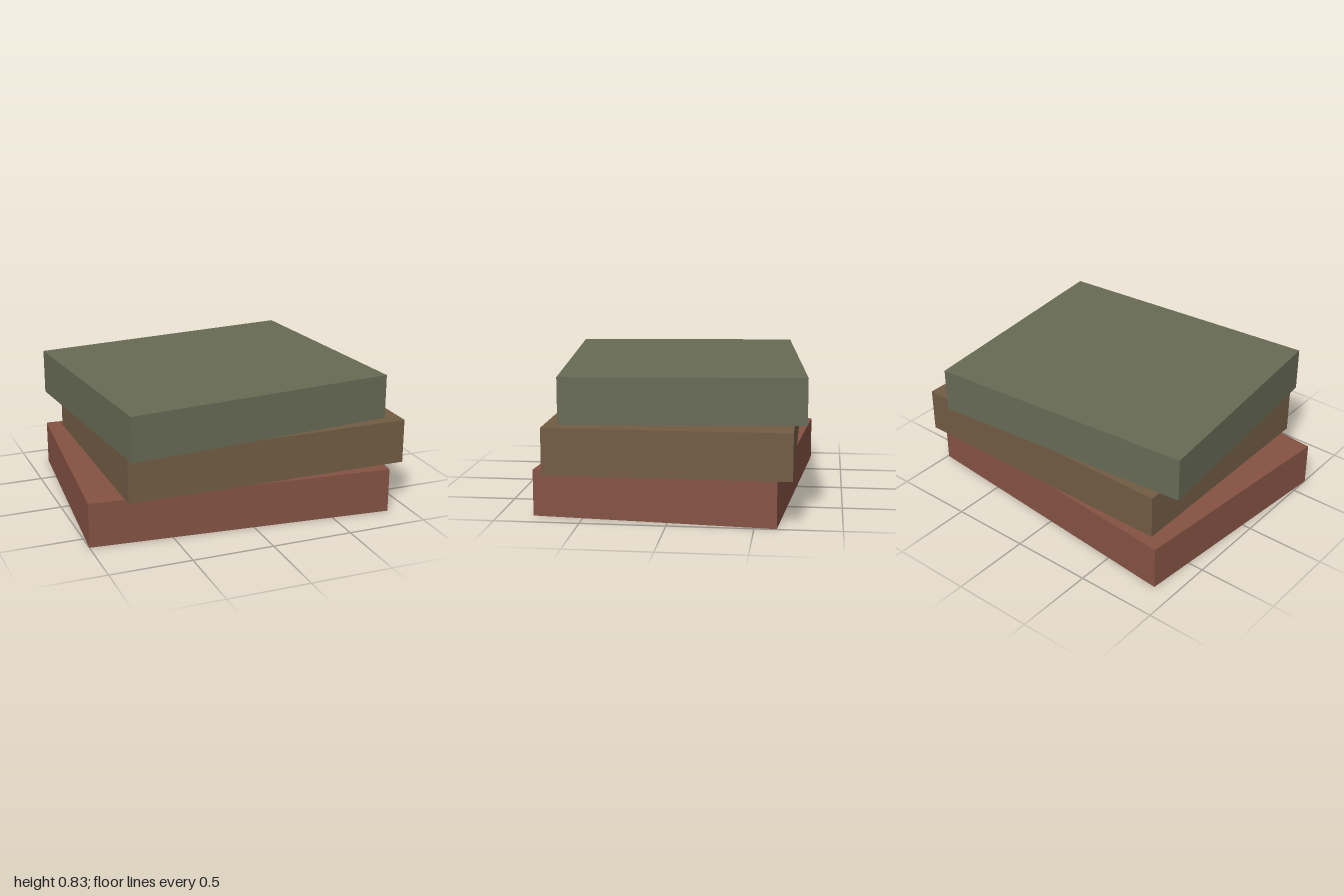
import * as THREE from 'three';

const HEIGHT = 0.276;
const DEPTH = 1.43;

function material(name, color) {
  const m = new THREE.MeshStandardMaterial({ color });
  m.name = name;
  return m;
}

export function createModel() {
  const group = new THREE.Group();
  group.name = 'slabStack';

  // Stacked slabs from bottom to top, each turned a little
  const slabs = [
    { name: 'bottomSlab', width: 1.873, x: -0.004, turn: -0.09, mat: material('brick red', 0x855344) },
    { name: 'middleSlab', width: 1.784, x: 0.107, turn: 0, mat: material('earth brown', 0x725c44) },
    { name: 'topSlab', width: 1.694, x: -0.003, turn: 0.09, mat: material('moss green', 0x676b55) },
  ];

  slabs.forEach(({ name, width, x, turn, mat }, i) => {
    const slab = new THREE.Mesh(new THREE.BoxGeometry(width, HEIGHT, DEPTH), mat);
    slab.name = name;
    slab.position.set(x, HEIGHT * (i + 0.5), 0);
    slab.rotation.y = turn;
    group.add(slab);
  });

  return group;
}
